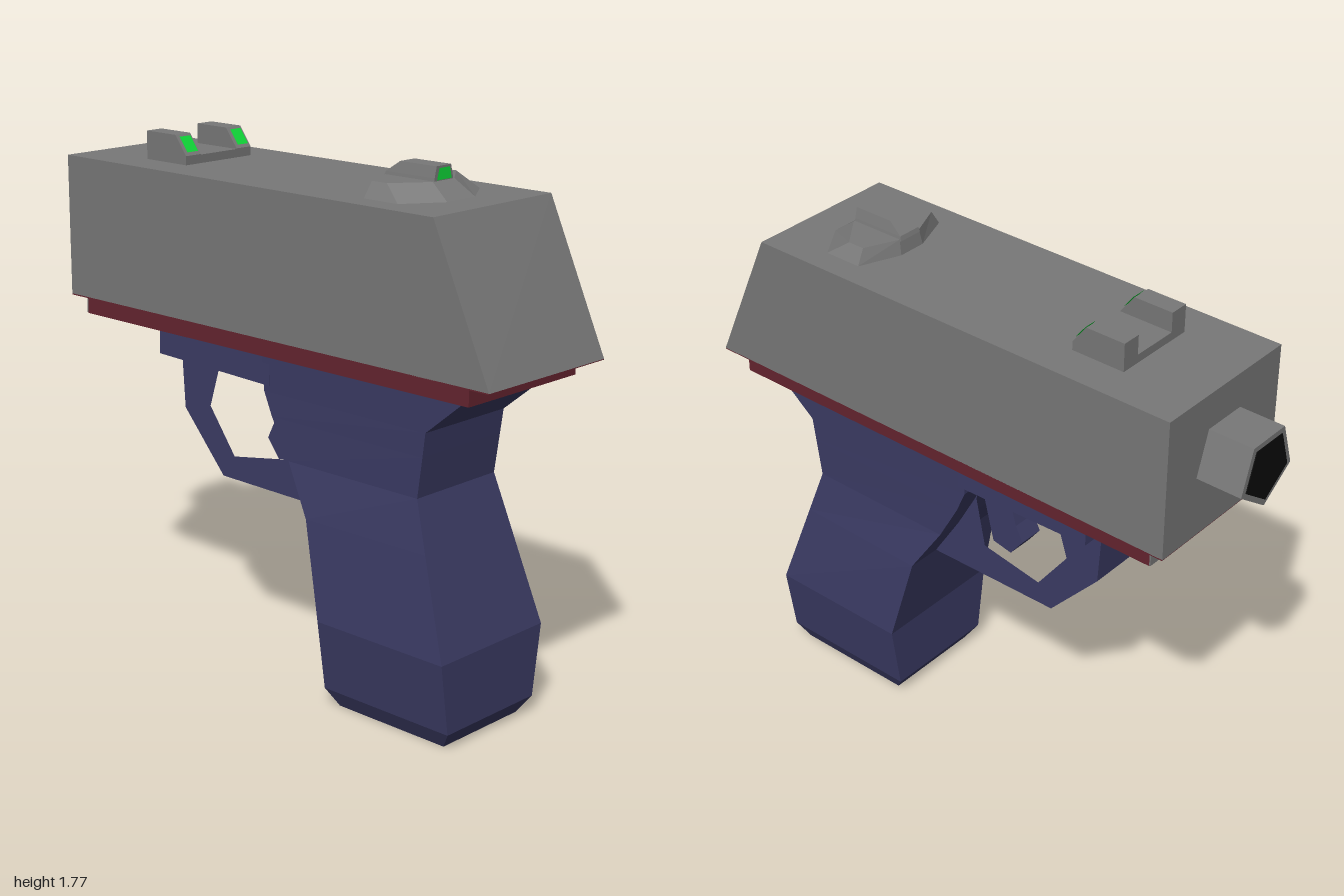
import * as THREE from 'three';

const mat = (name, color, extra = {}) => {
  const m = new THREE.MeshStandardMaterial({ color, flatShading: true, ...extra });
  m.name = name;
  return m;
};

export function createModel() {
  const grey = mat('slide grey', 0x787878);
  const blue = mat('frame blue', 0x3b3b64);
  const red = mat('rail red', 0x64242f);
  const green = mat('sight green', 0x10d838, { side: THREE.DoubleSide });
  const black = mat('bore black', 0x0a0a0a);
  const model = new THREE.Group();

  const add = (name, geo, material, x = 0, y = 0, z = 0) => {
    const mesh = new THREE.Mesh(geo, material);
    mesh.name = name;
    mesh.position.set(x, y, z);
    model.add(mesh);
    return mesh;
  };

  // Side profile of [z, y] points, extruded across x and centred
  const sideExtrude = (pts, width, hole) => {
    const shape = new THREE.Shape(pts.map(p => new THREE.Vector2(...p)));
    if (hole) shape.holes.push(new THREE.Path(hole.map(p => new THREE.Vector2(...p))));
    return new THREE.ExtrudeGeometry(shape, { depth: width, bevelEnabled: false })
      .translate(0, 0, -width / 2).rotateY(-Math.PI / 2);
  };

  // Closed skin over rings of [x, y, z], bottom to top, each counterclockwise from above
  const loft = rings => {
    const n = rings[0].length, out = [];
    const tri = (a, b, c) => out.push(...a, ...b, ...c);
    for (let r = 0; r < rings.length - 1; r++) {
      const a = rings[r], b = rings[r + 1];
      for (let i = 0; i < n; i++) {
        const j = (i + 1) % n;
        tri(a[i], a[j], b[j]);
        tri(a[i], b[j], b[i]);
      }
    }
    const lo = rings[0], hi = rings[rings.length - 1];
    for (let i = 1; i < n - 1; i++) {
      tri(lo[0], lo[i + 1], lo[i]);
      tri(hi[0], hi[i], hi[i + 1]);
    }
    const geo = new THREE.BufferGeometry();
    geo.setAttribute('position', new THREE.Float32BufferAttribute(out, 3));
    geo.computeVertexNormals();
    return geo;
  };

  // Slide with sloped front, and its red underside
  add('slide', sideExtrude([[1, 1.2], [-0.84, 1.2], [-0.84, 1.68], [0.78, 1.68]], 0.55), grey);
  add('slideUnderside', new THREE.BoxGeometry(0.55, 0.004, 1.838), red, 0, 1.199, 0.08);

  // Rail below the slide, with a grey end plate
  add('rail', new THREE.BoxGeometry(0.51, 0.06, 1.69), red, 0, 1.168, 0.065);
  add('railEndPlate', new THREE.BoxGeometry(0.51, 0.052, 0.006), grey, 0, 1.166, -0.782);

  // Five-sided barrel, one corner pointing down, with a dark bore
  const pentagon = r => new THREE.Shape(Array.from({ length: 5 }, (_, i) => {
    const a = -Math.PI / 2 + i * Math.PI * 2 / 5;
    return new THREE.Vector2(r * Math.cos(a), r * Math.sin(a));
  }));
  add('barrel', new THREE.ExtrudeGeometry(pentagon(0.132), { depth: 0.17, bevelEnabled: false }),
    grey, 0, 1.452, -0.997);
  add('bore', new THREE.ExtrudeGeometry(pentagon(0.11), { depth: 0.006, bevelEnabled: false }),
    black, 0, 1.452, -1);

  // Grip: [y, front z, back z, front half width, back half width]
  const gripRings = [
    [0, 0.78, 0.34, 0.18, 0.18],
    [0.06, 0.82, 0.30, 0.21, 0.21],
    [0.30, 0.82, 0.30, 0.245, 0.245],
    [0.62, 0.714, 0.22, 0.206, 0.216],
    [0.785, 0.66, 0.115, 0.185, 0.187],
    [0.92, 0.679, 0.04, 0.186, 0.187],
    [1.0, 0.69, 0.005, 0.187, 0.187],
    [1.14, 0.86, 0, 0.19, 0.19],
  ].map(([y, f, b, wf, wb]) => [[wf, y, f], [wb, y, b], [-wb, y, b], [-wf, y, f]]);
  add('grip', loft(gripRings), blue);
  add('frameBlock', sideExtrude([[0.03, 1.02], [-0.49, 1.035], [-0.49, 1.14], [0.03, 1.14]], 0.378), blue);

  // Trigger guard and trigger
  add('triggerGuard', sideExtrude(
    [[0.24, 0.62], [-0.285, 0.625], [-0.47, 0.83], [-0.485, 1.06], [0.15, 1.06], [0.26, 0.68]], 0.19,
    [[0, 0.745], [-0.23, 0.705], [-0.345, 0.86], [-0.29, 1.035], [0.005, 1.035], [0.035, 0.92]]), blue);
  add('trigger', sideExtrude(
    [[0.05, 1.05], [0.05, 0.92], [0.005, 0.735], [-0.07, 0.72], [-0.12, 0.785], [-0.092, 0.84],
      [-0.075, 0.9], [-0.075, 0.98], [-0.1, 1.05]], 0.09), blue);

  // Notched sight above the barrel end: low base, two posts with green faces
  add('notchSightBase', new THREE.BoxGeometry(0.296, 0.03, 0.19), grey, 0, 1.693, -0.485);
  for (const side of [-1, 1]) {
    add('notchSightPost', sideExtrude(
      [[-0.39, 1.68], [-0.58, 1.68], [-0.58, 1.775], [-0.44, 1.775], [-0.39, 1.71]], 0.066),
    grey, side * 0.115, 0, 0);
    const dot = add('notchSightDot', new THREE.PlaneGeometry(0.048, 0.06), green,
      side * 0.115, 1.745, -0.4115);
    dot.rotation.x = -Math.atan2(0.05, 0.065);
  }

  // Faceted mound carrying the single post sight
  const ring = (y, pts) => [...pts.map(([x, z]) => [x, y, z]),
    ...pts.slice().reverse().map(([x, z]) => [-x, y, z])];
  add('postSightMound', loft([
    ring(1.68, [[0.065, 0.655], [0.19, 0.57], [0.19, 0.435], [0.05, 0.38]]),
    ring(1.73, [[0.05, 0.585], [0.16, 0.5], [0.16, 0.44], [0.045, 0.39]]),
  ]), grey);
  add('postSight', loft([
    ring(1.725, [[0.045, 0.585], [0.045, 0.385]]),
    ring(1.74, [[0.042, 0.585], [0.042, 0.39]]),
    ring(1.775, [[0.033, 0.585], [0.033, 0.44]]),
  ]), grey);
  const dotShape = new THREE.Shape([[-0.034, 0], [0.034, 0], [0.024, 0.036], [-0.024, 0.036]]
    .map(p => new THREE.Vector2(...p)));
  add('postSightDot', new THREE.ShapeGeometry(dotShape), green, 0, 1.733, 0.588);

  return model;
}
